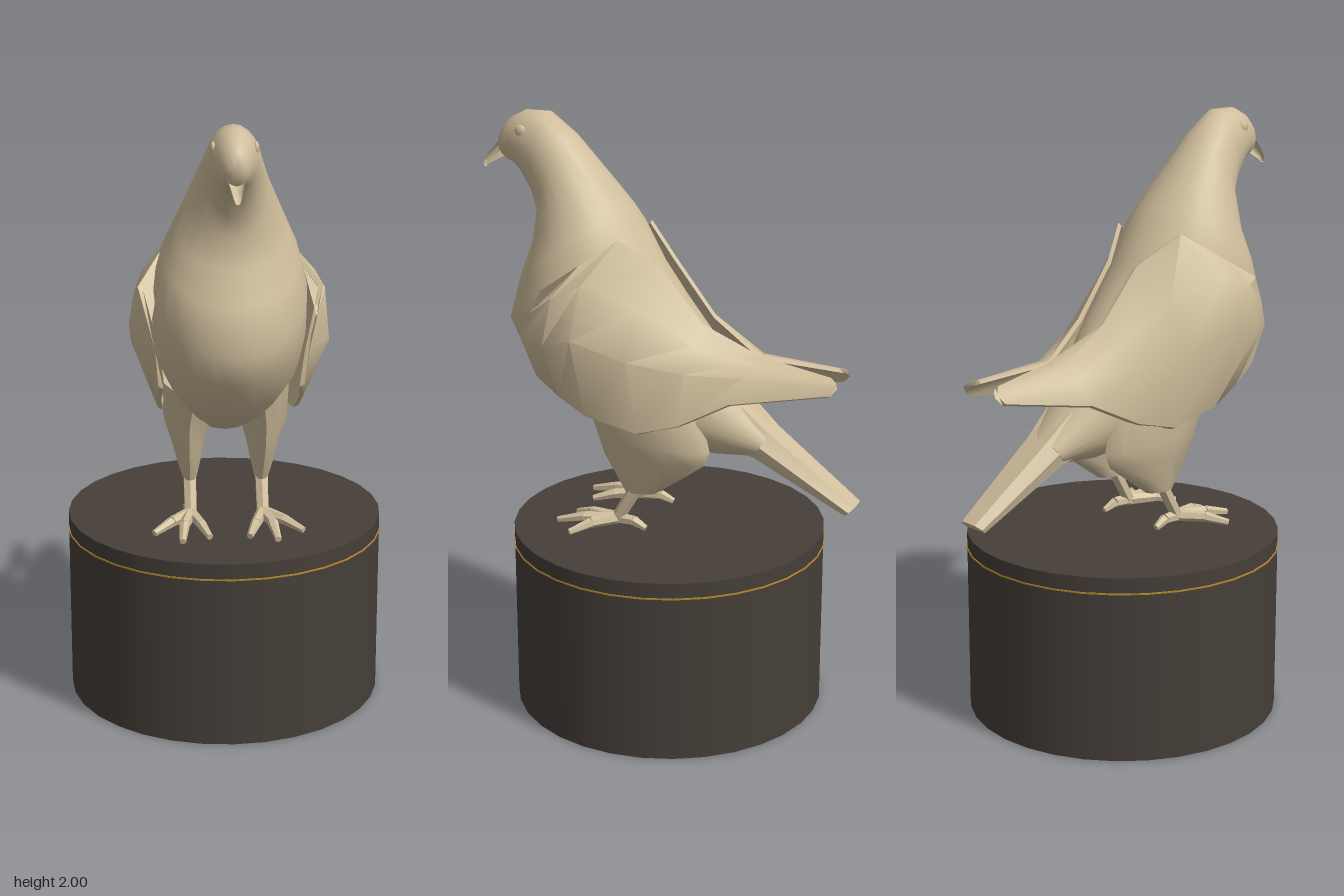
import * as THREE from 'three';
import { toCreasedNormals } from 'three/addons/utils/BufferGeometryUtils.js';

const V = (x, y, z) => new THREE.Vector3(x, y, z);

// Skin a list of equal-length closed rings and cap both ends
function loft(rings, crease) {
  const n = rings[0].length, pos = [], idx = [];
  const centre = ring => ring.reduce((c, p) => c.add(p), V(0, 0, 0)).divideScalar(n);
  rings.forEach(r => r.forEach(p => pos.push(p.x, p.y, p.z)));
  const last = rings.length - 1, c0 = rings.length * n, c1 = c0 + 1;
  [rings[0], rings[last]].forEach(r => { const c = centre(r); pos.push(c.x, c.y, c.z); });
  for (let j = 0; j < n; j++) {
    const k = (j + 1) % n;
    for (let i = 0; i < last; i++) {
      const a = i * n + j, b = i * n + k;
      idx.push(a, b, a + n, b, b + n, a + n);
    }
    idx.push(c0, k, j, c1, last * n + j, last * n + k);
  }
  const g = new THREE.BufferGeometry();
  g.setAttribute('position', new THREE.Float32BufferAttribute(pos, 3));
  g.setIndex(idx);
  return toCreasedNormals(g, crease);
}

// Elliptical ring spanning two points (z, y) in the side plane
function oval([z0, y0, z1, y1, w, cx = 0], n) {
  return Array.from({ length: n }, (_, i) => {
    const a = (i / n) * Math.PI * 2, c = Math.cos(a) / 2;
    return V(cx + Math.sin(a) * w, (y0 + y1) / 2 + c * (y0 - y1), (z0 + z1) / 2 + c * (z0 - z1));
  });
}

// Tapered rod between two points
function rod(a, b, ra, rb, sides = 6) {
  const d = b.clone().sub(a);
  const g = new THREE.CylinderGeometry(rb, ra, d.length(), sides);
  g.applyQuaternion(new THREE.Quaternion().setFromUnitVectors(V(0, 1, 0), d.normalize()));
  const m = a.clone().add(b).multiplyScalar(0.5);
  return toCreasedNormals(g.translate(m.x, m.y, m.z), 0.5);
}

export function createModel() {
  const model = new THREE.Group();
  const stone = new THREE.MeshStandardMaterial({ name: 'darkStone', color: 0x463f39 });
  const gold = new THREE.MeshStandardMaterial({ name: 'gold', color: 0xb8892b });
  const tan = new THREE.MeshStandardMaterial({ name: 'tan', color: 0xd0be9c });
  const add = (name, geo, mat = tan, parent = model) => {
    const m = new THREE.Mesh(geo, mat);
    m.name = name;
    parent.add(m);
    return m;
  };

  // Pedestal with a fine gold band
  add('pedestal', new THREE.CylinderGeometry(0.527, 0.527, 0.625, 32).translate(0, 0.3125, 0), stone);
  add('goldBand', new THREE.CylinderGeometry(0.53, 0.53, 0.005, 32).translate(0, 0.572, 0), gold);

  // Head, neck, breast, belly: back point, front point, half width
  const body = [
    [0.60, 1.91, 0.585, 1.845, 0.028],
    [0.585, 1.94, 0.565, 1.83, 0.042],
    [0.55, 1.975, 0.54, 1.82, 0.058],
    [0.50, 2.0, 0.51, 1.79, 0.074],
    [0.42, 2.0, 0.475, 1.73, 0.09],
    [0.33, 1.93, 0.45, 1.66, 0.115],
    [0.20, 1.78, 0.47, 1.56, 0.175],
    [0.14, 1.71, 0.51, 1.45, 0.215],
    [0.10, 1.66, 0.55, 1.30, 0.24],
    [0.03, 1.53, 0.50, 1.20, 0.245],
    [-0.05, 1.42, 0.43, 1.10, 0.235],
    [-0.14, 1.31, 0.27, 1.0, 0.195],
    [-0.22, 1.19, 0.08, 0.93, 0.16],
    [-0.27, 1.11, -0.17, 0.90, 0.12],
    [-0.37, 1.0, -0.31, 0.91, 0.08],
  ];
  add('body', loft(body.map(r => oval(r, 24)), 1.1));

  // Flat tail fan
  const tail = [[-0.26, 1.1, -0.2, 0.96, 0.1], [-0.37, 1.0, -0.32, 0.92, 0.078], [-0.66, 0.78, -0.63, 0.752, 0.053]];
  add('tail', loft(tail.map(([z0, y0, z1, y1, w]) =>
    [V(-w * 0.6, y0, z0), V(w * 0.6, y0, z0), V(w, (y0 + y1) / 2, (z0 + z1) / 2),
      V(w * 0.85, y1, z1), V(-w * 0.85, y1, z1), V(-w, (y0 + y1) / 2, (z0 + z1) / 2)]), 0.7));

  // Hooked beak
  const beak = [[0.585, 1.905, 0.575, 1.84, 0.032], [0.608, 1.885, 0.59, 1.838, 0.027],
    [0.638, 1.852, 0.615, 1.823, 0.019], [0.66, 1.82, 0.643, 1.808, 0.012], [0.66, 1.802, 0.652, 1.799, 0.006]];
  add('beak', loft(beak.map(r => oval(r, 8)), 0.8));

  // Wing stations, front to tip: points from upper edge to lower edge
  const wing = [
    [[0.29, 1.48, 0.33], [0.265, 1.39, 0.385], [0.24, 1.30, 0.43], [0.23, 1.17, 0.38]],
    [[0.225, 1.555, 0.225], [0.3, 1.46, 0.29], [0.312, 1.30, 0.32], [0.235, 1.11, 0.30]],
    [[0.15, 1.63, 0.12], [0.275, 1.5, 0.2], [0.318, 1.33, 0.22], [0.228, 1.05, 0.21]],
    [[0.07, 1.53, 0.0], [0.19, 1.42, 0.04], [0.26, 1.26, 0.05], [0.225, 1.01, 0.03]],
    [[0.06, 1.355, -0.14], [0.135, 1.30, -0.13], [0.19, 1.22, -0.12], [0.19, 1.04, -0.1]],
    [[0.005, 1.25, -0.32], [0.06, 1.24, -0.31], [0.11, 1.2, -0.29], [0.145, 1.12, -0.26]],
    [[0.05, 1.222, -0.57], [0.07, 1.215, -0.59], [0.088, 1.2, -0.6], [0.1, 1.175, -0.58]],
  ];

  // Thigh rings: rear point, front point, half width, side offset
  const thigh = [
    [-0.14, 1.12, 0.27, 1.1, 0.1, 0.11], [-0.19, 0.94, 0.215, 0.98, 0.082, 0.125],
    [-0.17, 0.89, 0.185, 0.89, 0.058, 0.125], [-0.06, 0.81, 0.14, 0.81, 0.038, 0.122],
    [0.0, 0.768, 0.112, 0.762, 0.025, 0.12],
  ];
  const toes = [
    ['innerToe', [0.09, 0.655, 0.24], [0.065, 0.636, 0.31]],
    ['middleToe', [0.145, 0.658, 0.25], [0.155, 0.636, 0.345]],
    ['outerToe', [0.185, 0.655, 0.21], [0.245, 0.636, 0.265]],
    ['rearToe', [0.125, 0.66, 0.08], [0.13, 0.64, 0.035]],
  ];

  for (const [side, s] of [['left', 1], ['right', -1]]) {
    // Reverse the ring order on the mirrored side to keep faces outward
    const mirror = ring => (s > 0 ? ring : ring.map(p => V(-p.x, p.y, p.z)).reverse());

    add(side + 'Wing', loft(wing.map(st => mirror([
      ...st.map(p => V(...p)),
      ...st.map(([x, y, z]) => V(x - 0.016, y - 0.008, z)).reverse(),
    ])), 0.75));

    add(side + 'Thigh', loft(thigh.map(r => mirror(oval(r, 10))), 0.9));

    // Shank and four jointed toes
    const foot = new THREE.Group();
    foot.name = side + 'Foot';
    model.add(foot);
    const at = ([x, y, z]) => V(s * x, y, z);
    const ankle = at([0.12, 0.66, 0.14]);
    add('shank', rod(at([0.12, 0.79, 0.065]), ankle, 0.024, 0.022), tan, foot);
    for (const [name, mid, tip] of toes) {
      add(name, rod(ankle, at(mid), 0.021, 0.018), tan, foot);
      add(name + 'Tip', rod(at(mid), at(tip), 0.018, 0.011), tan, foot);
    }

    // Eye
    const eye = add(side + 'Eye', new THREE.SphereGeometry(0.02, 12, 8).scale(0.5, 1, 1));
    eye.position.set(s * 0.064, 1.94, 0.495);
  }
  return model;
}
